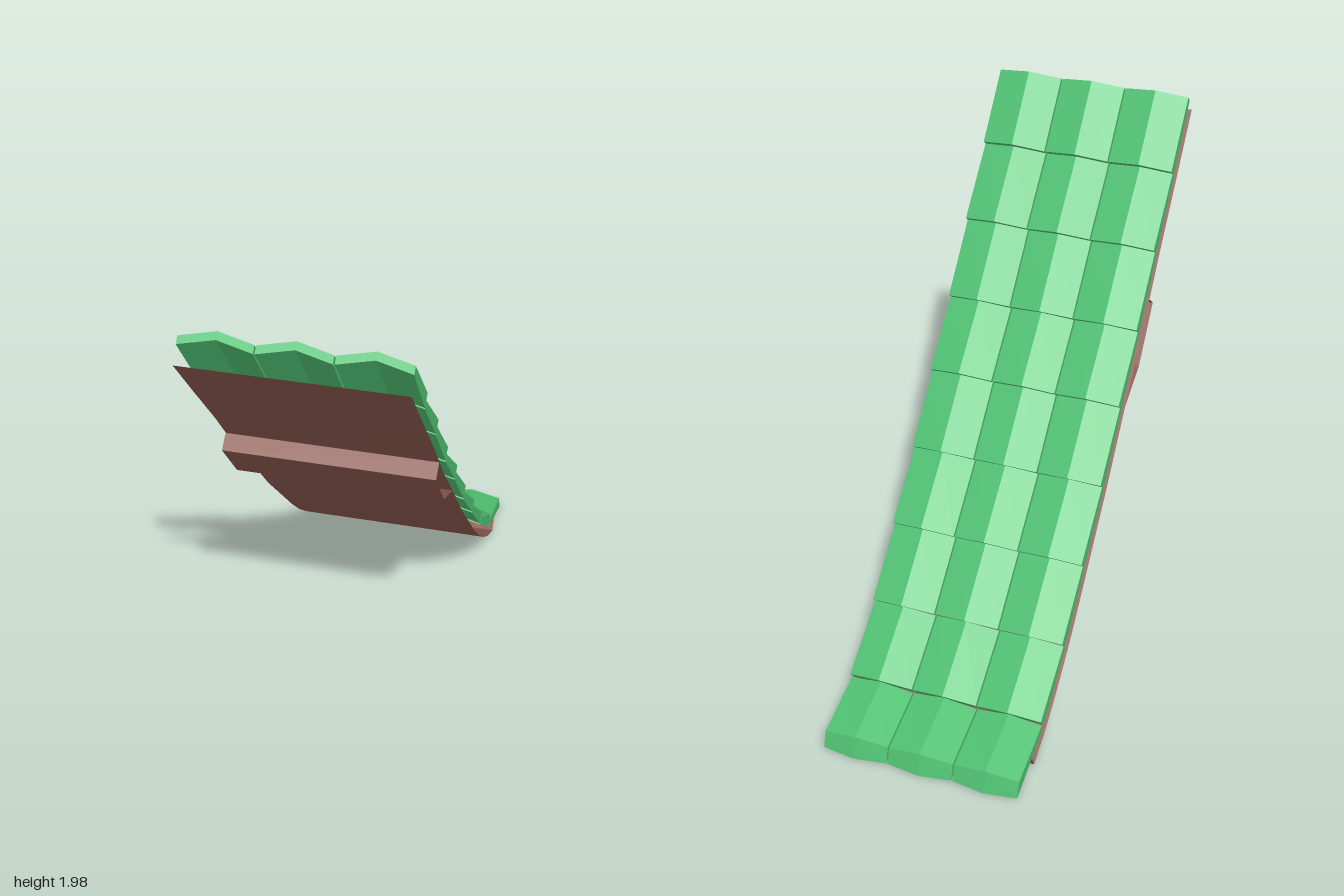
import * as THREE from 'three';

const green = new THREE.MeshStandardMaterial({ color: 0x4fbf72, flatShading: true });
green.name = 'tile green';
const brown = new THREE.MeshStandardMaterial({ color: 0x8a574c, side: THREE.DoubleSide });
brown.name = 'wood brown';

const HALF = 0.388; // half width of the roof strip

// Sheet swept across x along a (z, y) profile
function sheet(profile, name) {
  const pos = [], idx = [];
  profile.forEach(([z, y], i) => {
    pos.push(-HALF, y, z, HALF, y, z);
    if (i) {
      const a = 2 * i - 2;
      idx.push(a, a + 2, a + 1, a + 1, a + 2, a + 3);
    }
  });
  const g = new THREE.BufferGeometry();
  g.setAttribute('position', new THREE.Float32BufferAttribute(pos, 3));
  g.setIndex(idx);
  g.computeVertexNormals();
  const m = new THREE.Mesh(g, brown);
  m.name = name;
  return m;
}

// Tile lofted between an upper and a lower end; each end gives its
// edge top, edge bottom, ridge top and ridge bottom as (z, y)
function tileGeometry(upper, lower, w) {
  const ring = ({ top, bot, ridge, ridgeBot }) => [
    [0, ridge], [w, top], [w, bot], [0, ridgeBot], [-w, bot], [-w, top],
  ].map(([x, p]) => [x, p.y, p.x]);
  const a = ring(upper), b = ring(lower), pos = [];
  const tri = (...p) => p.forEach((q) => pos.push(...q));
  for (let i = 0; i < 6; i++) {
    const j = (i + 1) % 6;
    tri(a[i], a[j], b[i]);
    tri(a[j], b[j], b[i]);
  }
  for (let k = 1; k < 5; k++) {
    tri(a[0], a[k + 1], a[k]);
    tri(b[0], b[k], b[k + 1]);
  }
  const g = new THREE.BufferGeometry();
  g.setAttribute('position', new THREE.Float32BufferAttribute(pos, 3));
  g.computeVertexNormals();
  return g;
}

export function createModel() {
  const root = new THREE.Group();
  root.name = 'roofSection';

  // Side-edge line of the tile tops, (z, y), from the high end to the eave
  const line = [
    [0.94, 1.957], [0.743, 1.73], [0.54, 1.49], [0.346, 1.243], [0.142, 1.02],
    [-0.06, 0.783], [-0.276, 0.56], [-0.49, 0.34], [-0.726, 0.153], [-0.962, 0.067],
  ].map(([z, y]) => new THREE.Vector2(z, y));

  // Rows of ridged tiles, each lower end lapping over the next row
  const tiles = new THREE.Group();
  tiles.name = 'tiles';
  for (let r = 0; r < line.length - 1; r++) {
    const d = line[r + 1].clone().sub(line[r]).normalize();
    const n = new THREE.Vector2(d.y, -d.x); // outward from the slope
    const off = (p, h) => p.clone().addScaledVector(n, h);
    const end = (p, t, h) => ({
      top: p, bot: off(p, -t), ridge: off(p, h), ridgeBot: off(p, h - t),
    });
    const upper = end(r ? off(line[r], -0.026) : line[r], 0.03, r ? 0.028 : 0.03);
    const lower = end(line[r + 1], 0.052, 0.03);
    if (r === line.length - 2) {
      // The eave row ends in a deeper, plumb face
      lower.bot = new THREE.Vector2(-0.983, 0.004);
      lower.ridge = new THREE.Vector2(-0.973, 0.087);
      lower.ridgeBot = new THREE.Vector2(-0.998, 0);
    }
    const g = tileGeometry(upper, lower, 0.127);
    for (const c of [-1, 0, 1]) {
      const tile = new THREE.Mesh(g, green);
      tile.name = 'tile';
      tile.position.x = c * 0.26;
      tiles.add(tile);
    }
  }
  root.add(tiles);

  // Curved under-panel, eave board and supporting beam
  root.add(sheet([
    [1, 1.88], [0.82, 1.665], [0.617, 1.426], [0.42, 1.18], [0.215, 0.95], [0.013, 0.715],
    [-0.206, 0.485], [-0.32, 0.365], [-0.426, 0.263], [-0.55, 0.16], [-0.67, 0.075], [-0.8, 0.008],
  ], 'underPanel'));
  root.add(sheet([[-0.8, 0.008], [-0.835, 0.075]], 'eaveBoard'));
  const beam = new THREE.Group();
  beam.name = 'beam';
  beam.add(
    sheet([[0.51, 1.29], [0.56, 1.248]], 'beamTop'),
    sheet([[0.56, 1.248], [0.4, 1.05]], 'beamFace'),
    sheet([[0.4, 1.05], [0.23, 0.967]], 'beamBottom'),
  );
  root.add(beam);
  return root;
}
